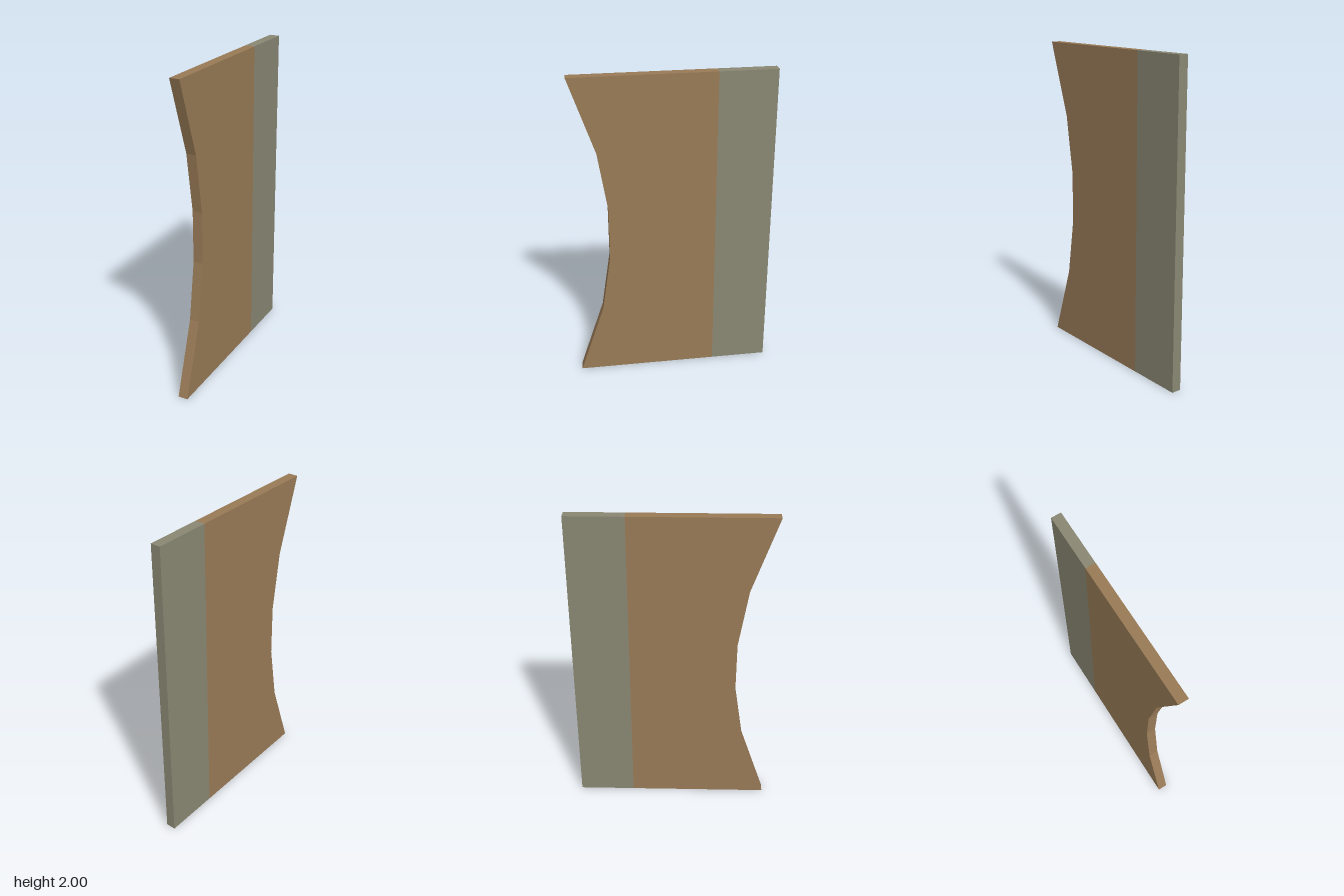
import * as THREE from 'three';

const THICKNESS = 0.062;

// Extrudes a (z, y) outline sideways, centred on x = 0
function slab(name, outline, material) {
  const shape = new THREE.Shape(outline.map(([z, y]) => new THREE.Vector2(z, y)));
  const geometry = new THREE.ExtrudeGeometry(shape, { depth: THICKNESS, bevelEnabled: false });
  geometry.translate(0, 0, -THICKNESS / 2);
  geometry.rotateY(-Math.PI / 2);
  const mesh = new THREE.Mesh(geometry, material);
  mesh.name = name;
  return mesh;
}

export function createModel() {
  const brown = new THREE.MeshStandardMaterial({ color: 0x997b57 });
  brown.name = 'warm brown';
  const grey = new THREE.MeshStandardMaterial({ color: 0x8a8874 });
  grey.name = 'olive grey';

  const back = -0.617, seam = -0.263;

  // Faceted concave front edge, mirrored about mid height
  const lower = [[0.617, 0], [0.46, 0.465], [0.403, 0.835]];
  const upper = lower.map(([z, y]) => [z, 2 - y]).reverse();

  const group = new THREE.Group();
  group.name = 'curvedPanel';
  group.add(
    slab('frontPanel', [[seam, 0], ...lower, ...upper, [seam, 2]], brown),
    slab('backStrip', [[back, 0], [seam, 0], [seam, 2], [back, 2]], grey)
  );
  return group;
}
